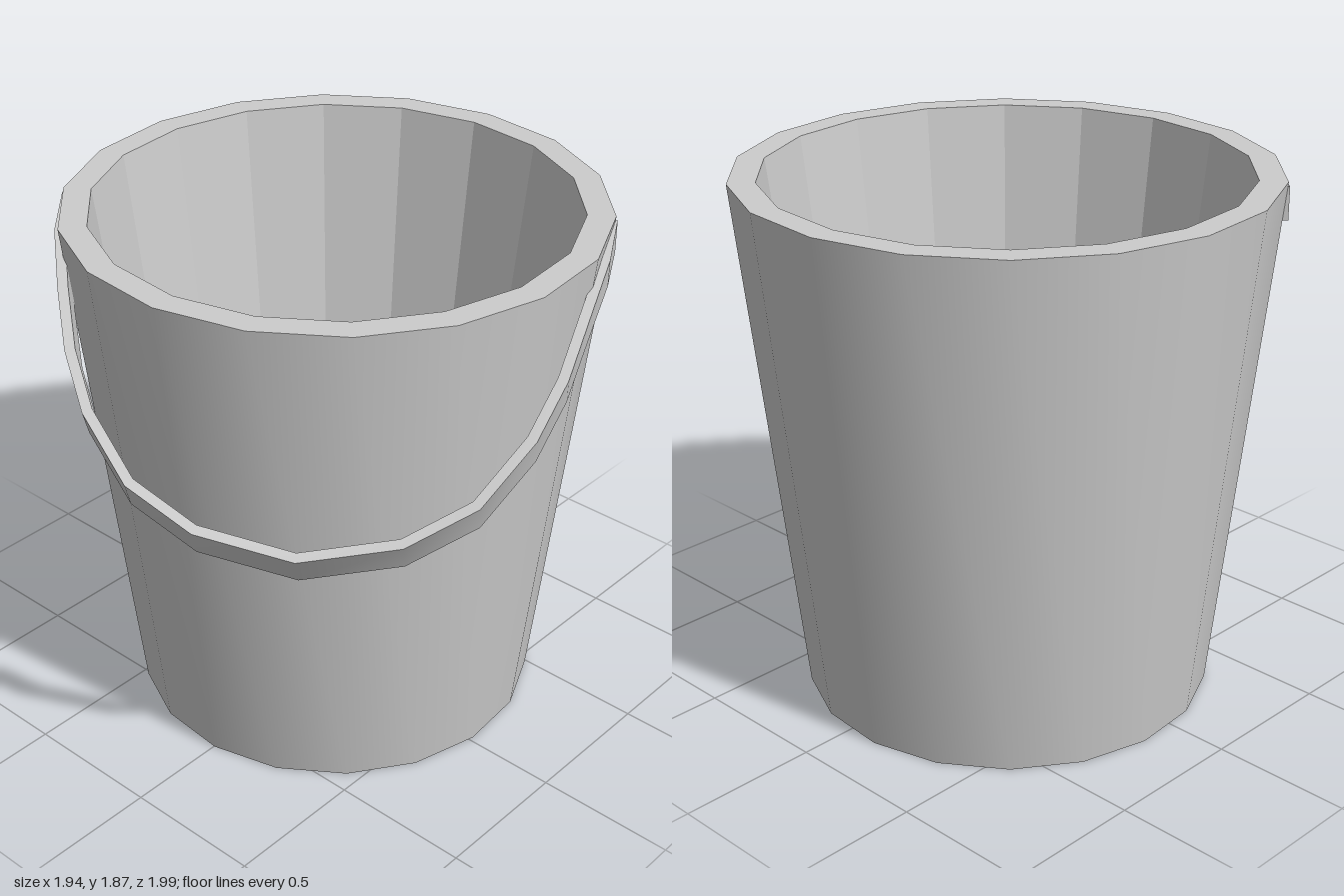
import * as THREE from 'three';
import { toCreasedNormals } from 'three/addons/utils/BufferGeometryUtils.js';

const SIDES = 18;

function lathe(profile) {
  const points = profile.map(([r, y]) => new THREE.Vector2(r, y));
  return new THREE.LatheGeometry(points, SIDES, Math.PI / SIDES, Math.PI * 2);
}

// Flat strap swept through [x, y, z, forward lean] stations of its lower outer edge
function strapGeometry(stations, thickness) {
  const low = stations.map(([x, y, z]) => new THREE.Vector3(x, y, z));
  const last = low.length - 1;
  const sections = low.map((p, i) => {
    const width = new THREE.Vector3(0, 0.115, stations[i][3]);
    const tangent = low[Math.min(i + 1, last)].clone().sub(low[Math.max(i - 1, 0)]);
    const inward = width.clone().cross(tangent).setLength(thickness);
    const top = p.clone().add(width);
    return [p, top, top.clone().add(inward), p.clone().add(inward)];
  });
  const positions = [];
  const quad = (a, b, c, d) => {
    for (const v of [a, b, c, a, c, d]) positions.push(v.x, v.y, v.z);
  };
  for (let i = 0; i < last; i++) {
    for (let j = 0; j < 4; j++) {
      const k = (j + 1) % 4;
      quad(sections[i][j], sections[i + 1][j], sections[i + 1][k], sections[i][k]);
    }
  }
  quad(...sections[0]);
  quad(...[...sections[last]].reverse());
  const geometry = new THREE.BufferGeometry();
  geometry.setAttribute('position', new THREE.Float32BufferAttribute(positions, 3));
  return toCreasedNormals(geometry, 0.7);
}

export function createModel() {
  const model = new THREE.Group();
  model.name = 'bucket';
  const smooth = new THREE.MeshStandardMaterial({ color: 0xcccccc });
  const faceted = new THREE.MeshStandardMaterial({ color: 0xcccccc, flatShading: true });
  const add = (name, geometry, material) => {
    const mesh = new THREE.Mesh(geometry, material);
    mesh.name = name;
    model.add(mesh);
  };

  // Tapered outside with base and rim
  const shell = lathe([[0, 0], [0.722, 0], [0.925, 1.87], [0.83, 1.87]]);
  add('outerWall', toCreasedNormals(shell, 0.6), smooth);

  // Faceted inside with floor
  add('innerWall', lathe([[0.83, 1.87], [0.612, 0.1], [0, 0.1]]), faceted);

  // Handle hanging forward, mirrored about its lowest point
  const half = [
    [0.93, 1.74, 0, 0],
    [0.91, 1.70, 0.17, 0.04],
    [0.855, 1.60, 0.366, 0.06],
    [0.80, 1.47, 0.53, 0.07],
    [0.715, 1.34, 0.69, 0.07],
    [0.555, 1.18, 0.845, 0.07],
    [0.33, 1.08, 0.94, 0.07],
  ];
  const left = half.map(([x, ...rest]) => [-x, ...rest]);
  const stations = [...left, [0, 1.03, 0.985, 0.07], ...half.reverse()];
  add('handle', strapGeometry(stations, 0.035), smooth);

  model.rotation.y = THREE.MathUtils.degToRad(35);
  model.position.set(-0.06, 0, -0.08);
  const root = new THREE.Group();
  root.add(model);
  return root;
}
